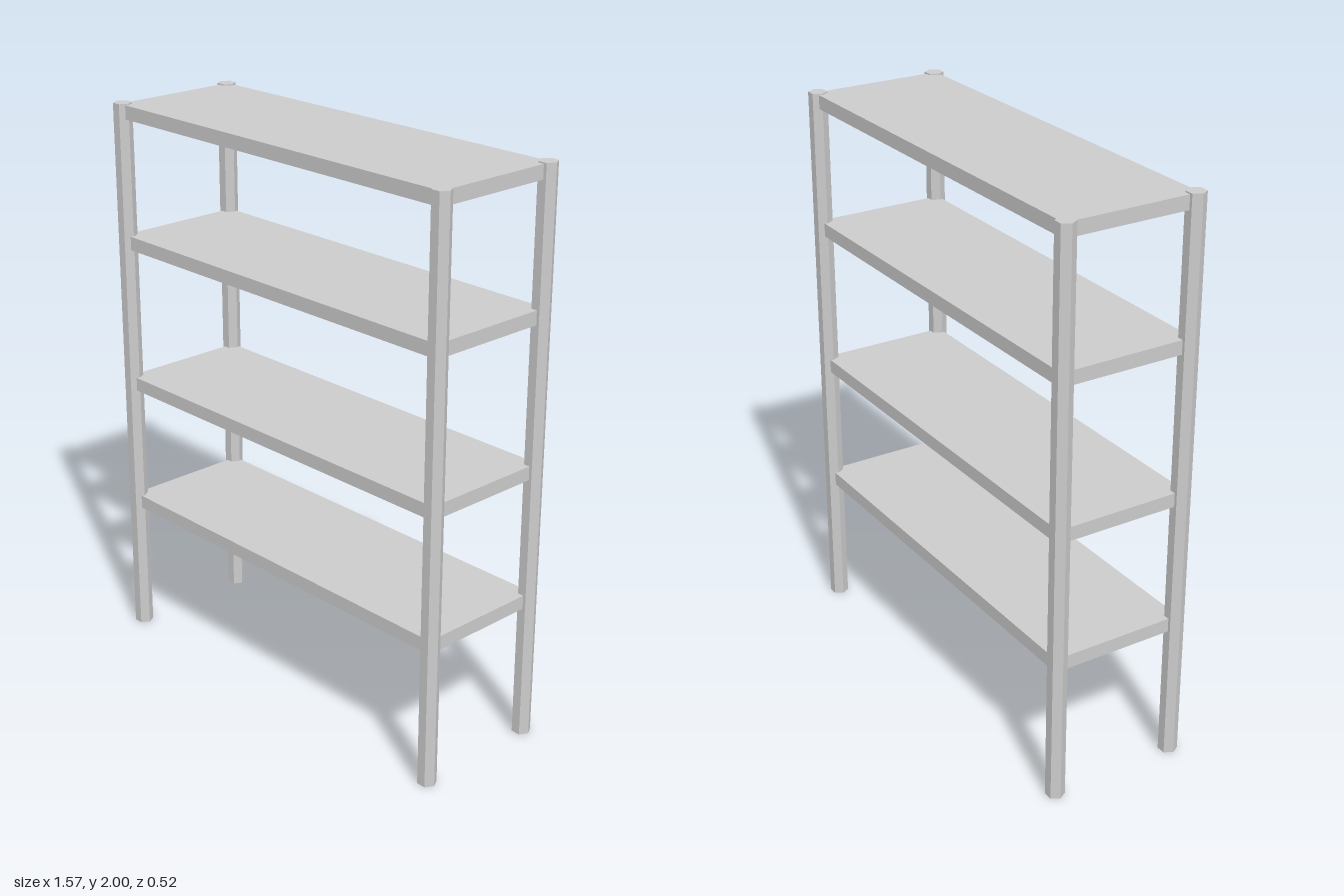
import * as THREE from 'three';

export function createModel() {
  const group = new THREE.Group();
  const material = new THREE.MeshStandardMaterial({ color: 0xcccccc, flatShading: true });

  const add = (name, geometry, x, y, z) => {
    const mesh = new THREE.Mesh(geometry, material);
    mesh.name = name;
    mesh.position.set(x, y, z);
    group.add(mesh);
  };

  // Four hexagonal corner posts, with corners pointing along x
  const post = new THREE.CylinderGeometry(0.033, 0.033, 2, 6, 1, false, Math.PI / 2);
  for (const [sideName, sx] of [['Left', 1], ['Right', -1]]) {
    for (const [endName, sz] of [['front', 1], ['back', -1]]) {
      add(`${endName}${sideName}Post`, post, sx * 0.752, 1, sz * 0.232);
    }
  }

  // Four shelf boards running between the posts
  const board = new THREE.BoxGeometry(1.516, 0.049, 0.484);
  [0.507, 0.976, 1.506, 1.971].forEach((y, i) => add(`shelf${i + 1}`, board, 0, y, 0));

  return group;
}
